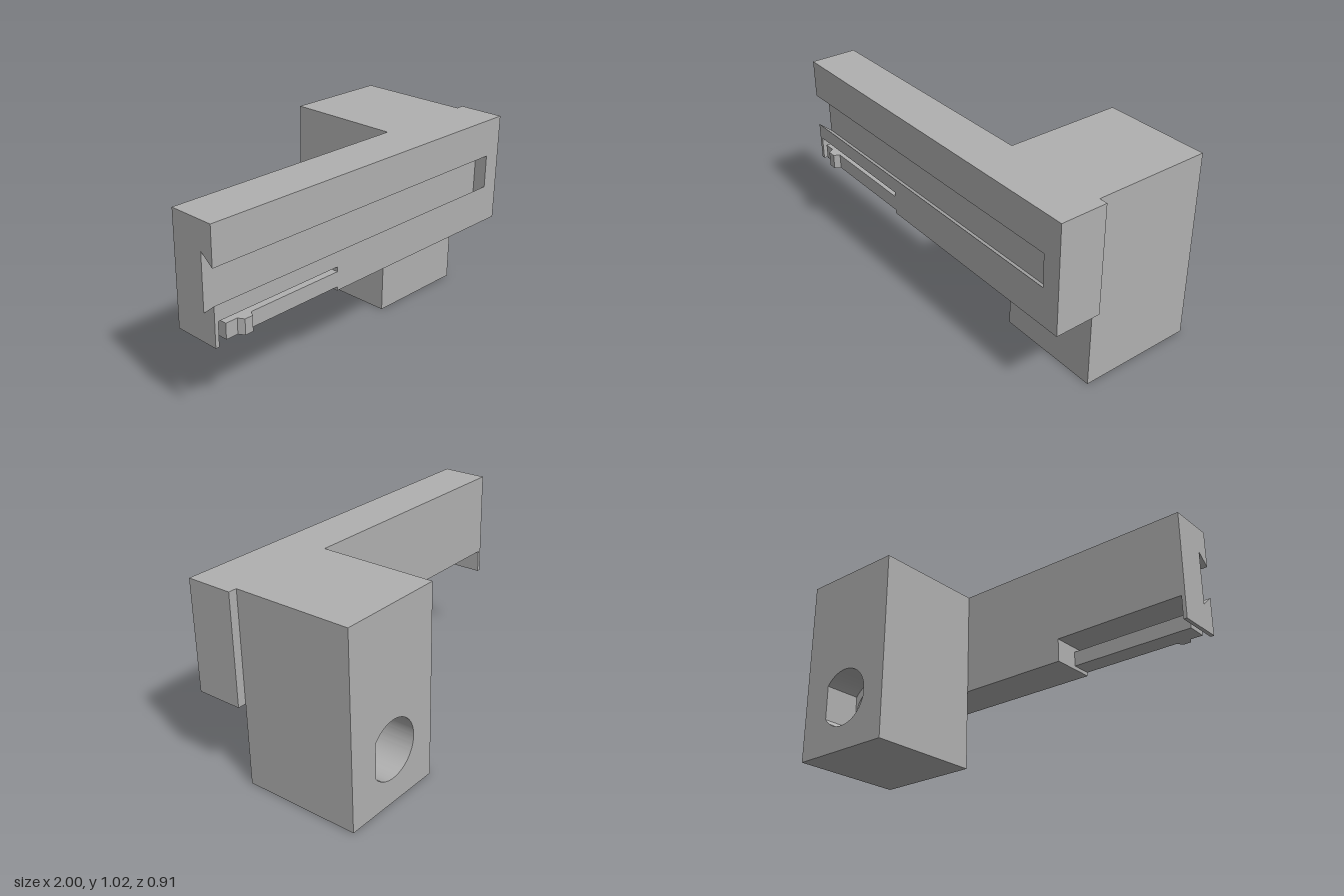
import * as THREE from 'three';
import { toCreasedNormals } from 'three/addons/utils/BufferGeometryUtils.js';

export function createModel() {
  const model = new THREE.Group();
  model.name = 'slottedArmBracket';
  const grey = new THREE.MeshStandardMaterial({ color: 0xb0b0b0 });
  grey.name = 'plainGrey';

  const add = (name, geometry, parent = model) => {
    const mesh = new THREE.Mesh(geometry, grey);
    mesh.name = name;
    parent.add(mesh);
    return mesh;
  };
  const group = (name) => {
    const g = new THREE.Group();
    g.name = name;
    model.add(g);
    return g;
  };
  // Box given by its limits on each axis
  const box = (x0, x1, y0, y1, z0, z1) =>
    new THREE.BoxGeometry(x1 - x0, y1 - y0, z1 - z0)
      .translate((x0 + x1) / 2, (y0 + y1) / 2, (z0 + z1) / 2);
  const polygon = (points) => new THREE.Shape(points.map(([a, b]) => new THREE.Vector2(a, b)));
  const extrude = (shape, depth) =>
    new THREE.ExtrudeGeometry(shape, { depth, bevelEnabled: false, curveSegments: 48 });
  // Sweep a (z, y) profile along x
  const alongX = (points, x0, x1) =>
    extrude(polygon(points.map(([z, y]) => [-z, y])), x1 - x0).rotateY(Math.PI / 2).translate(x0, 0, 0);

  const back = 0.175, floor = 0.355, front = 0.425;
  const bottom = 0.44, top = 1.02, notchTop = 0.565, notchEnd = -0.25, wall = -0.98;

  // Arm: rear web with the notch cut out of its underside
  const arm = group('arm');
  const outline = polygon([
    [-1, bottom], [wall, bottom], [wall, notchTop], [notchEnd, notchTop],
    [notchEnd, bottom], [1, bottom], [1, top], [-1, top],
  ]);
  add('armWeb', extrude(outline, floor - back).translate(0, 0, back), arm);

  // Front rails, undercut to form a dovetail groove
  const grooveEnd = 0.9;
  add('upperRail', alongX([[floor, 0.875], [front, 0.82], [front, top], [floor, top]], -1, grooveEnd), arm);
  add('lowerRail', alongX([[floor, notchTop], [front, notchTop], [front, 0.645], [floor, 0.585]], -1, grooveEnd), arm);
  add('grooveStop', box(grooveEnd, 1, bottom, top, floor, front), arm);
  add('lowerFront', box(notchEnd, grooveEnd, bottom, notchTop, floor, front), arm);
  add('notchWall', box(-1, wall, bottom, notchTop, floor, front), arm);

  // Spring latch hanging in the notch, with a tapered catch on its front
  const latch = group('latch');
  add('latchTongue', box(-0.94, notchEnd, 0.46, 0.54, 0.315, front), latch);
  const catchShape = polygon([[-0.875, front], [-0.795, front], [-0.812, 0.455], [-0.857, 0.455]]);
  add('latchCatch', extrude(catchShape, 0.08).rotateX(Math.PI / 2).translate(0, 0.54, 0), latch);

  // Block: D-shaped socket at the back, then a narrower round bore
  const block = group('block');
  const x0 = 0.375, x1 = 0.955, cx = (x0 + x1) / 2, cy = 0.29;
  const drilled = (hole, z0, z1) => {
    const shape = polygon([[x0, 0], [x1, 0], [x1, top], [x0, top]]);
    shape.holes.push(hole);
    return toCreasedNormals(extrude(shape, z1 - z0).translate(0, 0, z0), 0.5);
  };
  const flat = Math.acos(0.125 / 0.156);
  const socket = new THREE.Path().absarc(cx, cy, 0.156, flat, Math.PI * 2 - flat, false);
  socket.closePath();
  const bore = new THREE.Path().absarc(cx, cy, 0.115, 0, Math.PI * 2, false);
  add('socketLayer', drilled(socket, -0.455, -0.255), block);
  add('boreLayer', drilled(bore, -0.255, -0.08), block);
  add('blockFront', box(x0, x1, 0, top, -0.08, back), block);

  return model;
}
